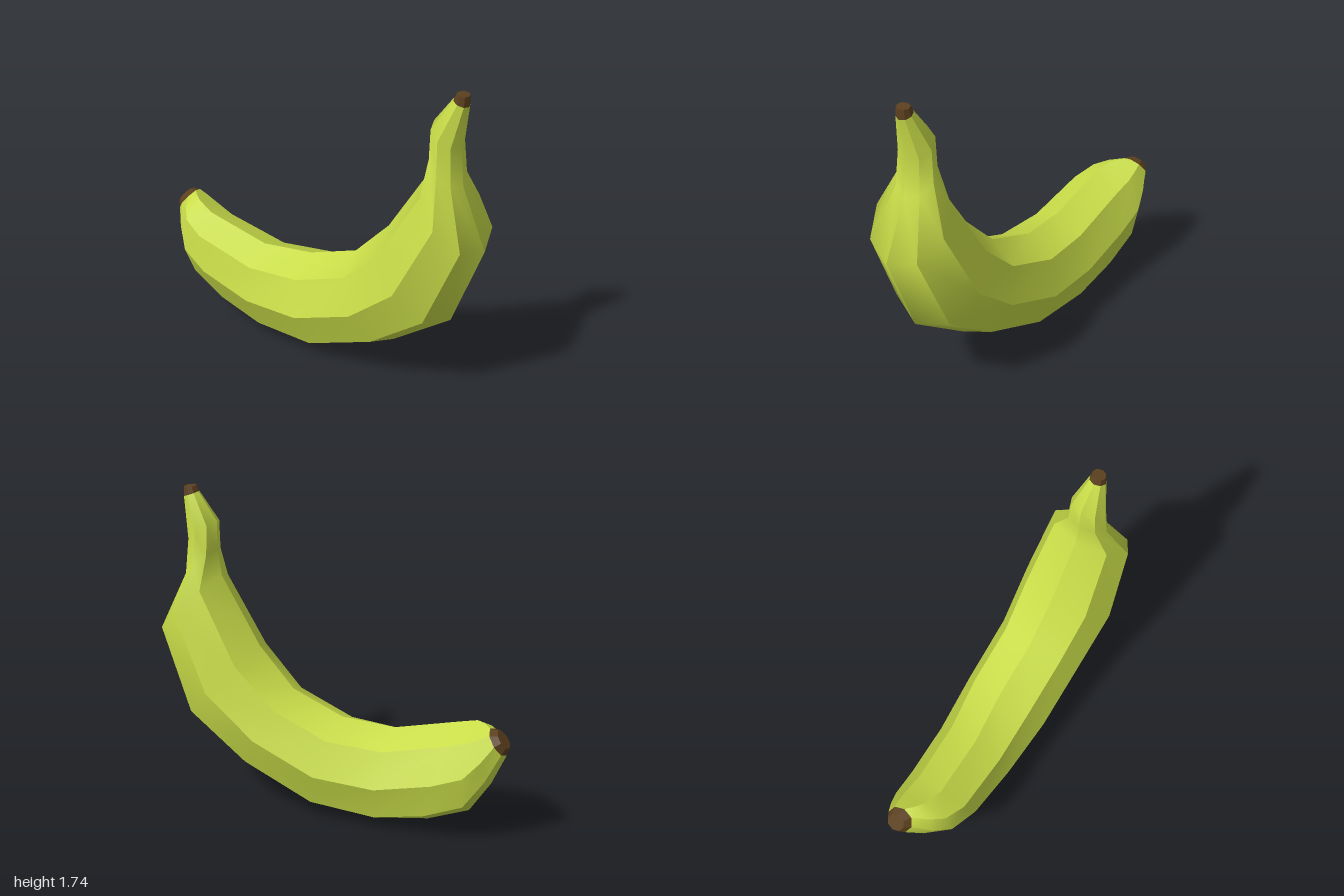
import * as THREE from 'three';

const SIDES = 8;

// Cross-sections from blossom tip to stem:
// [inner x, inner y, outer x, outer y, half width, z centre, twist]
const TIP_END = [-0.935, 0.65, -1.0, 0.565, 0.05, -0.05, 0];
const TIP_BASE = [-0.89, 0.655, -0.985, 0.52, 0.075, -0.045, 0];
const STEM_BASE = [0.785, 1.71, 0.868, 1.68, 0.045, 0, 0];
const STEM_END = [0.8, 1.74, 0.865, 1.735, 0.037, 0, 0];
const BODY = [
  TIP_BASE,
  [-0.85, 0.66, -0.905, 0.34, 0.135, -0.02, 0.015],
  [-0.8, 0.655, -0.79, 0.16, 0.185, 0, 0.03],
  [-0.7, 0.62, -0.56, 0.06, 0.21, 0.015, 0.04],
  [-0.34, 0.53, -0.3, 0.005, 0.23, 0.01, 0.025],
  [-0.05, 0.555, 0.08, 0.025, 0.253, 0, 0],
  [0.24, 0.67, 0.49, 0.2, 0.253, 0, 0],
  [0.44, 0.89, 0.83, 0.455, 0.27, 0, 0],
  [0.66, 1.26, 1.0, 0.925, 0.23, 0, 0],
  [0.68, 1.41, 0.86, 1.25, 0.115, 0, 0],
  [0.68, 1.56, 0.84, 1.45, 0.1, 0, 0],
  STEM_BASE,
];

// Point j of a section; j = 0 lies on the inner curve, j = 4 on the outer one
function ringPoint([ix, iy, ox, oy, hw, zc, twist], j) {
  const a = (j / SIDES) * Math.PI * 2;
  const c = Math.cos(a);
  return [
    (ix + ox) / 2 + ((ix - ox) / 2) * c,
    (iy + oy) / 2 + ((iy - oy) / 2) * c,
    zc + hw * Math.sin(a) + twist * c,
  ];
}

// Lofts sections as separate long strips: smooth lengthwise, sharp at the ridges
function loft(rings, capStart, capEnd) {
  const pos = [];
  const index = [];
  for (let j = 0; j < SIDES; j++) {
    const base = pos.length / 3;
    rings.forEach((r) => pos.push(...ringPoint(r, j), ...ringPoint(r, j + 1)));
    for (let i = 0; i < rings.length - 1; i++) {
      const a = base + i * 2;
      index.push(a + 1, a + 3, a + 2, a + 1, a + 2, a);
    }
  }
  const cap = (ring, flip) => {
    const base = pos.length / 3;
    for (let j = 0; j < SIDES; j++) pos.push(...ringPoint(ring, j));
    for (let j = 1; j < SIDES - 1; j++) {
      index.push(base, base + (flip ? j + 1 : j), base + (flip ? j : j + 1));
    }
  };
  if (capStart) cap(rings[0], true);
  if (capEnd) cap(rings[rings.length - 1], false);
  const geo = new THREE.BufferGeometry();
  geo.setAttribute('position', new THREE.Float32BufferAttribute(pos, 3));
  geo.setIndex(index);
  geo.computeVertexNormals();
  return geo;
}

export function createModel() {
  const group = new THREE.Group();
  group.name = 'banana';
  const peel = new THREE.MeshStandardMaterial({ color: 0xc8dc48 });
  const brown = new THREE.MeshStandardMaterial({ color: 0x5c401e });

  const add = (name, geo, mat) => {
    const mesh = new THREE.Mesh(geo, mat);
    mesh.name = name;
    group.add(mesh);
  };

  // Curved peel with its narrow neck
  add('peel', loft(BODY, false, false), peel);
  // Dry ends
  add('blossomTip', loft([TIP_END, TIP_BASE], true, false), brown);
  add('stemEnd', loft([STEM_BASE, STEM_END], false, true), brown);
  return group;
}
